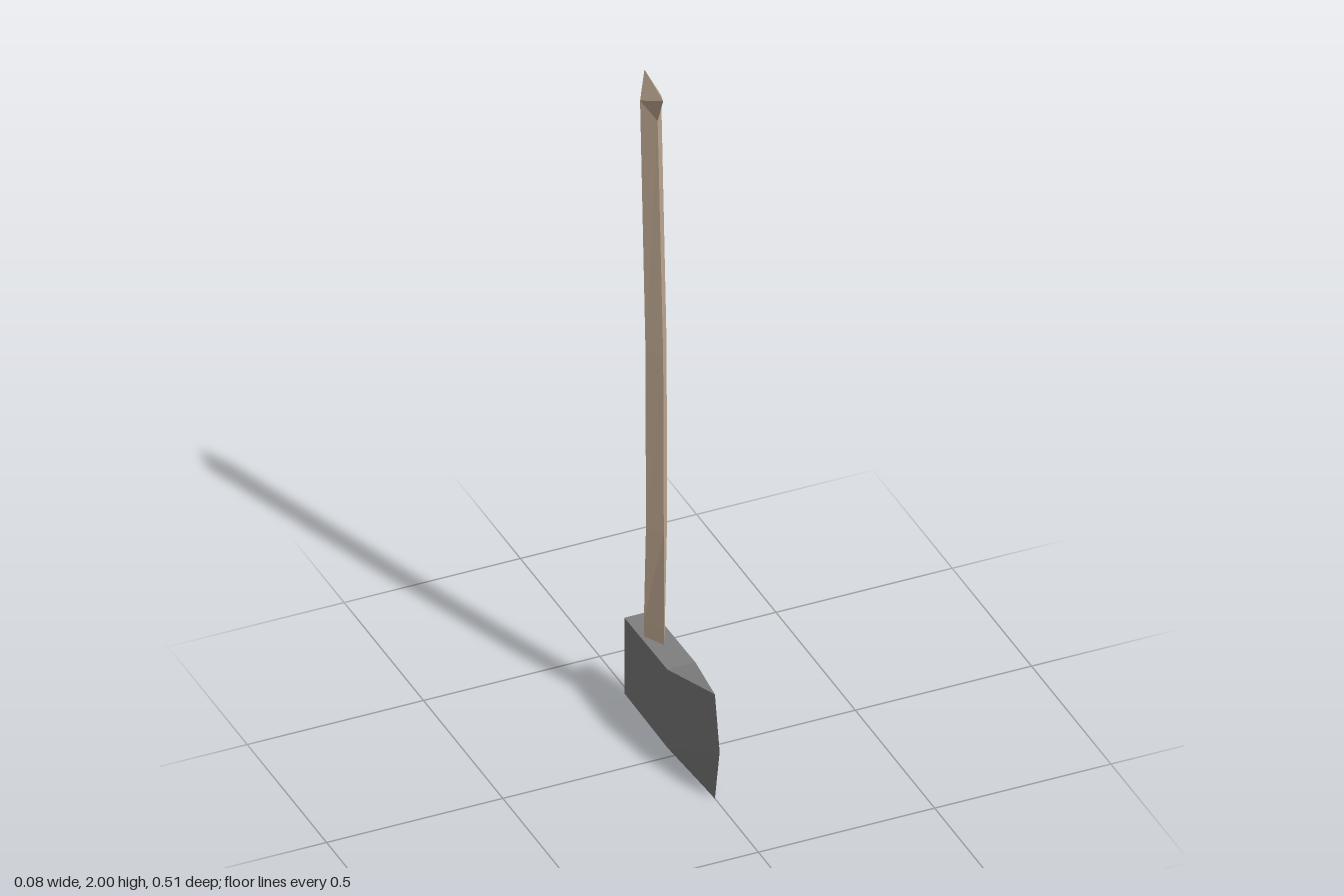
import * as THREE from 'three';

const wood = new THREE.MeshStandardMaterial({ name: 'pale wood', color: 0xc4ad95 });
const steel = new THREE.MeshStandardMaterial({ name: 'grey steel', color: 0x808080 });

// Faceted mesh from convex polygons (counterclockwise seen from outside)
function facetMesh(name, polygons, material) {
  const pos = [];
  for (const p of polygons) {
    for (let i = 1; i < p.length - 1; i++) pos.push(...p[0], ...p[i], ...p[i + 1]);
  }
  const geo = new THREE.BufferGeometry();
  geo.setAttribute('position', new THREE.Float32BufferAttribute(pos, 3));
  geo.computeVertexNormals();
  const mesh = new THREE.Mesh(geo, material);
  mesh.name = name;
  return mesh;
}

// Adds the mirror image in x of each polygon
const mirrored = (polys) => [
  ...polys,
  ...polys.map((p) => p.map(([x, y, z]) => [-x, y, z]).reverse()),
];

// Curved handle: diamond cross-sections, each [y, z] for front, side and back corners
function createHandle() {
  const w = 0.03;
  const stations = [
    [[0.027, -0.095], [0.027, -0.155], [0.027, -0.213]],
    [[0.33, -0.095], [0.33, -0.155], [0.33, -0.213]],
    [[0.63, -0.096], [0.63, -0.142], [0.63, -0.181]],
    [[1.18, -0.1], [1.18, -0.145], [1.18, -0.185]],
    [[1.89, -0.135], [1.935, -0.179], [2.0, -0.218]],
  ];
  const rings = stations.map((s) => s.map(([y, z], i) => [i === 1 ? w : 0, y, z]));
  const half = [];
  for (let i = 0; i < rings.length - 1; i++) {
    const a = rings[i], b = rings[i + 1];
    for (let j = 0; j < 2; j++) half.push([a[j], a[j + 1], b[j + 1], b[j]]);
  }
  // Flared knob and ridged end
  const [front, side, back] = rings[rings.length - 1];
  const tip = [0, 1.973, -0.1];
  half.push([front, side, tip], [side, back, tip]);
  // Flat foot
  half.push([rings[0][2], rings[0][1], rings[0][0]]);
  return facetMesh('handle', mirrored(half), wood);
}

// Axe head: blocky poll and a flared wedge ending in a pointed cutting edge
function createHead() {
  const w = 0.04;
  const pollTop = [w, 0.282, -0.256], pollLow = [w, 0.047, -0.256];
  const cheekTop = [w, 0.286, 0.015], cheekLow = [w, 0.043, 0.015];
  const edgeTop = [0, 0.326, 0.226], edgeMid = [0, 0.165, 0.256], edgeLow = [0, 0.002, 0.226];
  const centre = ([, y, z]) => [0, y, z];
  const half = [
    [pollTop, cheekTop, cheekLow, pollLow],
    [cheekTop, edgeTop, edgeMid],
    [cheekTop, edgeMid, cheekLow],
    [edgeMid, edgeLow, cheekLow],
    [centre(pollTop), centre(cheekTop), cheekTop, pollTop],
    [centre(cheekTop), edgeTop, cheekTop],
    [pollLow, cheekLow, centre(cheekLow), centre(pollLow)],
    [cheekLow, edgeLow, centre(cheekLow)],
    [centre(pollTop), pollTop, pollLow, centre(pollLow)],
  ];
  return facetMesh('axeHead', mirrored(half), steel);
}

export function createModel() {
  const axe = new THREE.Group();
  axe.name = 'axe';
  axe.add(createHandle(), createHead());
  return axe;
}
